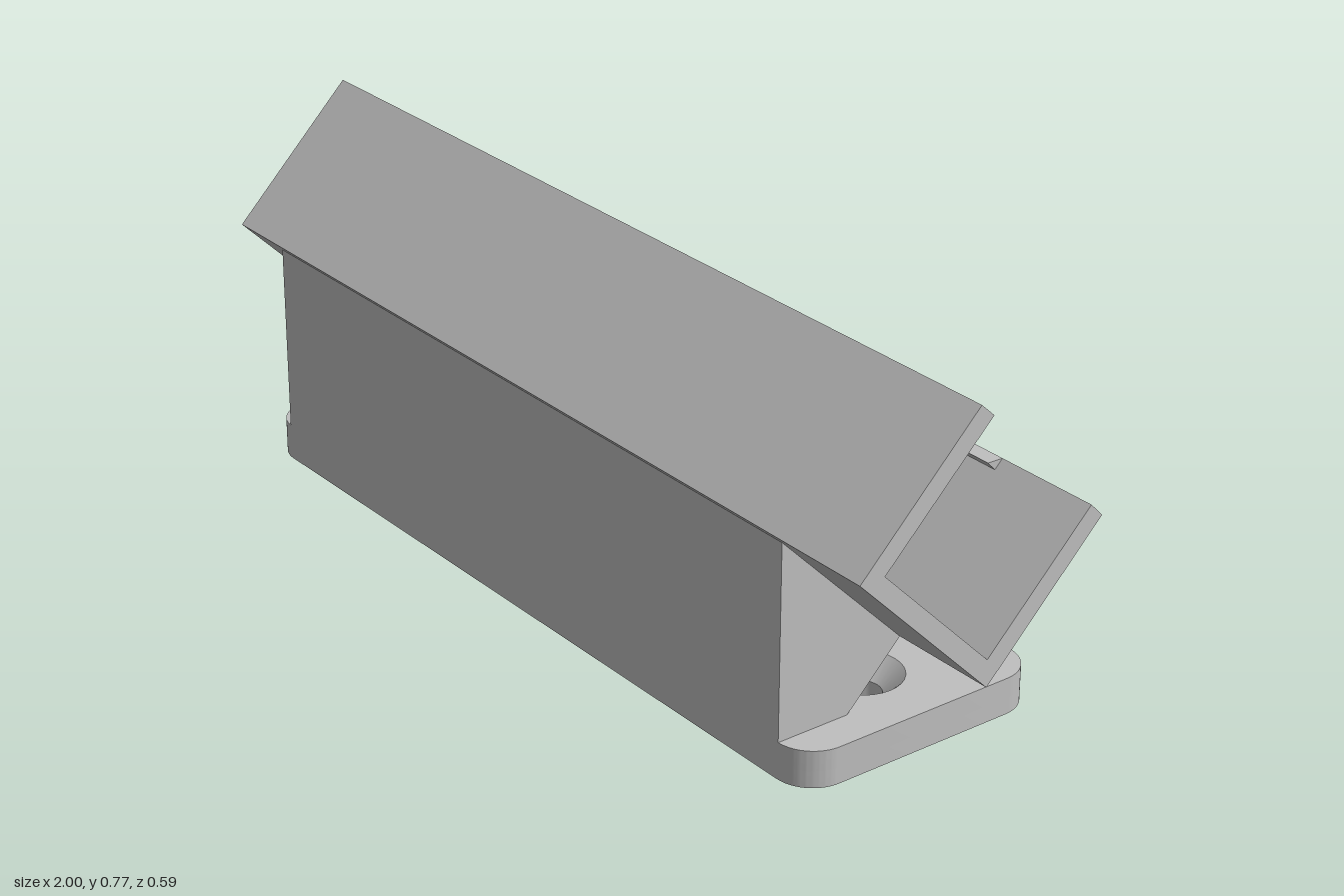
import * as THREE from 'three';
import { toCreasedNormals } from 'three/addons/utils/BufferGeometryUtils.js';

const grey = new THREE.MeshStandardMaterial({ color: 0xbfbfbf });
grey.name = 'plain grey';

function addMesh(parent, name, geometry) {
  const mesh = new THREE.Mesh(geometry, grey);
  mesh.name = name;
  parent.add(mesh);
  return mesh;
}

// Extrude a [z, y] side profile along x from x0 to x1
function sideExtrude(profile, x0, x1) {
  let points = profile.map(([z, y]) => new THREE.Vector2(-z, y));
  const geo = new THREE.ExtrudeGeometry(new THREE.Shape(points), { depth: x1 - x0, bevelEnabled: false });
  geo.rotateY(Math.PI / 2);
  geo.translate(x0, 0, 0);
  return geo;
}

// Base plate dimensions
const BASE = { x0: -0.95, x1: 0.845, z0: -0.292, z1: 0.272, top: 0.077, radius: 0.08 };
const HOLE = { offset: 0.715, rim: 0.085, bore: 0.043, floor: 0.035 };
const baseX = (BASE.x0 + BASE.x1) / 2;
const baseZ = (BASE.z0 + BASE.z1) / 2;

// One layer of the rounded plate, pierced by two round holes
function plateLayer(y0, y1, holeRadius) {
  const w = (BASE.x1 - BASE.x0) / 2, d = (BASE.z1 - BASE.z0) / 2, r = BASE.radius;
  const shape = new THREE.Shape();
  shape.absarc(w - r, d - r, r, 0, Math.PI / 2);
  shape.absarc(-w + r, d - r, r, Math.PI / 2, Math.PI);
  shape.absarc(-w + r, -d + r, r, Math.PI, Math.PI * 1.5);
  shape.absarc(w - r, -d + r, r, Math.PI * 1.5, Math.PI * 2);
  shape.closePath();
  for (const side of [-1, 1]) {
    const hole = new THREE.Path();
    hole.absarc(side * HOLE.offset, 0, holeRadius, 0, Math.PI * 2, true);
    shape.holes.push(hole);
  }
  const geo = new THREE.ExtrudeGeometry(shape, { depth: y1 - y0, bevelEnabled: false, curveSegments: 16 });
  geo.rotateX(-Math.PI / 2);
  geo.translate(baseX, y0, baseZ);
  return toCreasedNormals(geo, 0.6);
}

export function createModel() {
  const model = new THREE.Group();
  model.name = 'wallBracket';

  // Base plate with countersunk screw holes
  const base = new THREE.Group();
  base.name = 'basePlate';
  model.add(base);
  addMesh(base, 'lowerPlate', plateLayer(0, HOLE.floor, HOLE.bore));
  addMesh(base, 'upperPlate', plateLayer(HOLE.floor, BASE.top, HOLE.rim));
  for (const side of [-1, 1]) {
    const cone = new THREE.LatheGeometry([
      new THREE.Vector2(HOLE.rim, BASE.top),
      new THREE.Vector2(HOLE.bore, HOLE.floor),
    ], 32);
    addMesh(base, 'countersink', cone).position.set(baseX + side * HOLE.offset, 0, baseZ);
  }

  // Sloped support block
  addMesh(model, 'supportBlock', sideExtrude(
    [[0.272, 0.077], [0.11, 0.077], [-0.012, 0.2], [0.272, 0.484]], -0.875, 0.767));

  // Tilted U-shaped channel
  addMesh(model, 'channel', sideExtrude([
    [0.03, 0.767], [0.293, 0.503], [-0.012, 0.199], [-0.275, 0.462],
    [-0.247, 0.491], [-0.011, 0.256], [0.237, 0.503], [0, 0.739],
  ], -1, 1));

  // Small retaining clips along both lips
  const clips = {
    upperClip: [[0, 0.739], [0.019, 0.721], [0, 0.702]],
    lowerClip: [[-0.247, 0.491], [-0.229, 0.473], [-0.211, 0.492]],
  };
  for (const [name, profile] of Object.entries(clips)) {
    for (const [x0, x1] of [[-0.875, -0.615], [0.511, 0.767]]) {
      addMesh(model, name, sideExtrude(profile, x0, x1));
    }
  }
  return model;
}
